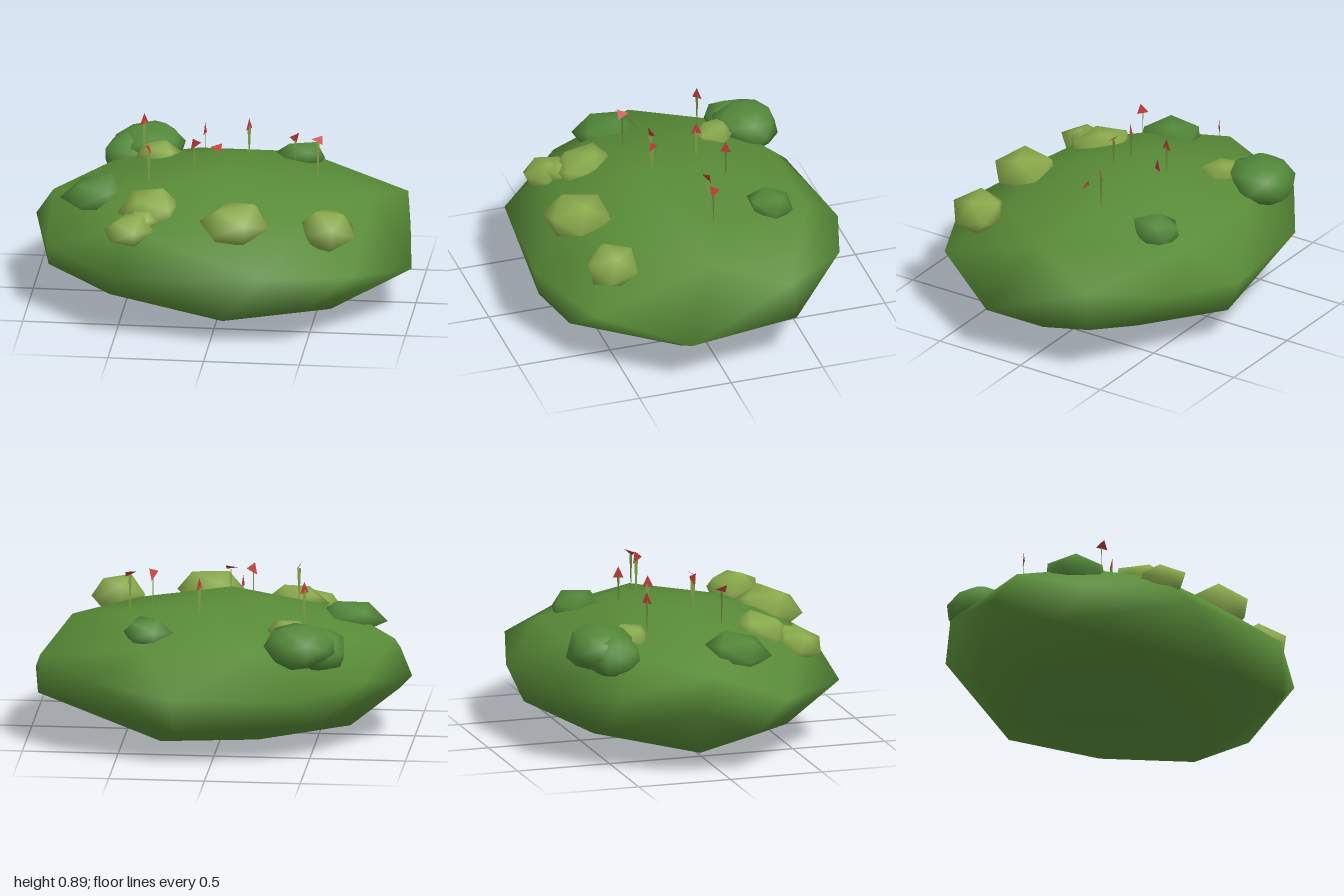
import * as THREE from 'three';
import { mergeVertices } from 'three/addons/utils/BufferGeometryUtils.js';
import { ConvexGeometry } from 'three/addons/geometries/ConvexGeometry.js';

const material = (name, color, side = THREE.FrontSide) => {
  const m = new THREE.MeshStandardMaterial({ color, side });
  m.name = name;
  return m;
};

// Weld a faceted shape so it shades smoothly
function smooth(geometry) {
  geometry.deleteAttribute('normal');
  geometry.deleteAttribute('uv');
  const g = mergeVertices(geometry, 1e-4);
  g.computeVertexNormals();
  return g;
}

// Small seeded random generator
function seeded(seed) {
  let s = seed * 7919 + 13;
  return () => (s = (s * 16807) % 2147483647) / 2147483647;
}

// Rough blob of unit radius with jittered corners
function blob(seed, detail, jitter) {
  const rand = seeded(seed);
  for (let i = 0; i < 5; i++) rand();
  const g = smooth(new THREE.IcosahedronGeometry(1, detail));
  const p = g.attributes.position;
  for (let i = 0; i < p.count; i++) {
    const k = 1 + (rand() - 0.5) * jitter;
    p.setXYZ(i, p.getX(i) * k, p.getY(i) * k, p.getZ(i) * k);
  }
  g.computeVertexNormals();
  return g;
}

function triangle(points) {
  const g = new THREE.BufferGeometry();
  g.setAttribute('position', new THREE.Float32BufferAttribute(points, 3));
  g.computeVertexNormals();
  return g;
}

export function createModel() {
  const group = new THREE.Group();
  const hillGreen = material('hillGreen', 0x588b37);
  const bushGreen = material('bushGreen', 0x53883a);
  const limeGreen = material('limeGreen', 0x8aab4c);
  const stemGreen = material('stemGreen', 0x7f9c45, THREE.DoubleSide);
  const petalRed = material('petalRed', 0xbf3c3a, THREE.DoubleSide);

  const add = (name, geometry, mat, parent = group) => {
    const mesh = new THREE.Mesh(geometry, mat);
    mesh.name = name;
    parent.add(mesh);
    return mesh;
  };

  // Mound: rim, crown, skirt and base corners wrapped in one smooth skin
  const rim = [
    [-1, 0.37, -0.15], [-0.79, 0.43, -0.52], [-0.44, 0.38, -0.76], [0.2, 0.39, -0.84],
    [0.63, 0.45, -0.71], [0.92, 0.49, -0.36], [0.93, 0.29, -0.38], [1, 0.27, 0.21],
    [0.73, 0.37, 0.65], [0.28, 0.41, 0.84], [-0.48, 0.35, 0.76], [-0.89, 0.38, 0.36],
  ];
  const crown = [
    [-0.9, 0.54, -0.05], [-0.6, 0.63, 0.2], [-0.58, 0.6, -0.42], [-0.26, 0.71, 0],
    [-0.03, 0.73, 0.2], [0.05, 0.72, -0.23], [0.5, 0.66, -0.1], [0.79, 0.61, 0.02],
    [0.48, 0.6, 0.42], [0, 0.61, 0.55], [-0.45, 0.55, 0.55], [0.35, 0.59, -0.62],
    [-0.2, 0.59, -0.62],
  ];
  const skirt = [
    [0.07, 0.14, 0.75], [0.5, 0.21, 0.72], [0.87, 0.2, 0.06], [0.18, 0.19, -0.75],
    [-0.9, 0.21, 0.18], [-0.55, 0.155, 0.45], [-0.55, 0.19, -0.5],
  ];
  const base = [
    [0.57, 0.005, 0.14], [0, 0.01, 0.14], [-0.2, 0.02, -0.2], [0.3, 0.015, -0.27],
    [-0.23, 0.1, -0.5], [-0.67, 0.07, -0.06],
  ];
  const corners = [...rim, ...crown, ...skirt, ...base].map((c) => new THREE.Vector3(...c));
  add('mound', smooth(new ConvexGeometry(corners)), hillGreen);

  // Bushes: centre, half sizes, turn, lean, detail
  const bush = (name, mat) => ([x, y, z, rx, ry, rz, turn, leanX, leanZ, detail], i) => {
    const mesh = add(name + (i + 1), blob(i + 3, detail, 0.26), mat);
    mesh.position.set(x, y, z);
    mesh.scale.set(rx, ry, rz);
    mesh.rotation.set(leanX, turn, leanZ);
  };
  [
    [-0.455, 0.62, -0.545, 0.175, 0.115, 0.17, 0.3, -0.15, 0.1, 1],
    [-0.56, 0.59, -0.49, 0.13, 0.11, 0.14, 1, -0.1, 0.15, 1],
    [-0.65, 0.6, 0.15, 0.185, 0.09, 0.175, 0.6, 0, 0.15, 0],
    [0.355, 0.64, -0.425, 0.135, 0.075, 0.135, 0.4, -0.12, -0.05, 0],
  ].forEach(bush('bush', bushGreen));
  [
    [0.12, 0.605, 0.565, 0.18, 0.112, 0.18, 0.4, 0.1, 0, 0],
    [0.6, 0.58, 0.52, 0.145, 0.12, 0.145, 0.2, 0.15, -0.1, 0],
    [-0.34, 0.615, 0.38, 0.165, 0.09, 0.175, 0.8, 0.15, 0.1, 0],
    [-0.435, 0.55, 0.55, 0.14, 0.08, 0.13, 0.3, 0.2, 0.15, 0],
    [-0.375, 0.59, 0.5, 0.085, 0.055, 0.09, 0.5, 0.1, 0, 0],
    [-0.385, 0.645, -0.35, 0.11, 0.065, 0.12, 0.8, 0, 0.1, 0],
  ].forEach(bush('limeBush', limeGreen));

  // Flowers: a tapered blade stem with one flat red petal
  const bladeGeo = triangle([-0.01, 0.85, 0, 0, 0.63, 0, 0.01, 0.85, 0]);
  const petalGeo = triangle([-0.028, -0.025, 0, 0.028, -0.025, 0, 0, 0.035, 0]);
  [
    // x, z, stem turn, petal tilt, petal turn, petal roll
    [-0.45, -0.28, 0.5, 0, 0.75, 0],
    [-0.38, 0.15, 0.3, -0.6, 1.57, -1.57],
    [-0.15, 0.07, 1.3, 0.2, 0.4, 2.6],
    [-0.03, 0.1, 1.4, -1.0, 0, 1.57],
    [-0.12, -0.17, 1.5, 0, 1.35, 0],
    [0.1, -0.26, 0.4, 0, 1.1, 0],
    [0.36, -0.08, 1.3, 0.3, 0.6, 3.5],
    [0.48, -0.07, 0.5, -0.8, 0.5, 1.3],
  ].forEach(([x, z, stemTurn, tilt, turn, roll], i) => {
    const flower = new THREE.Group();
    flower.name = 'flower' + (i + 1);
    flower.position.set(x, 0, z);
    group.add(flower);
    add('stem', bladeGeo, stemGreen, flower).rotation.y = stemTurn;
    const petal = add('petal', petalGeo, petalRed, flower);
    petal.position.y = 0.86;
    petal.rotation.set(tilt, turn, roll, 'YXZ');
  });

  return group;
}
